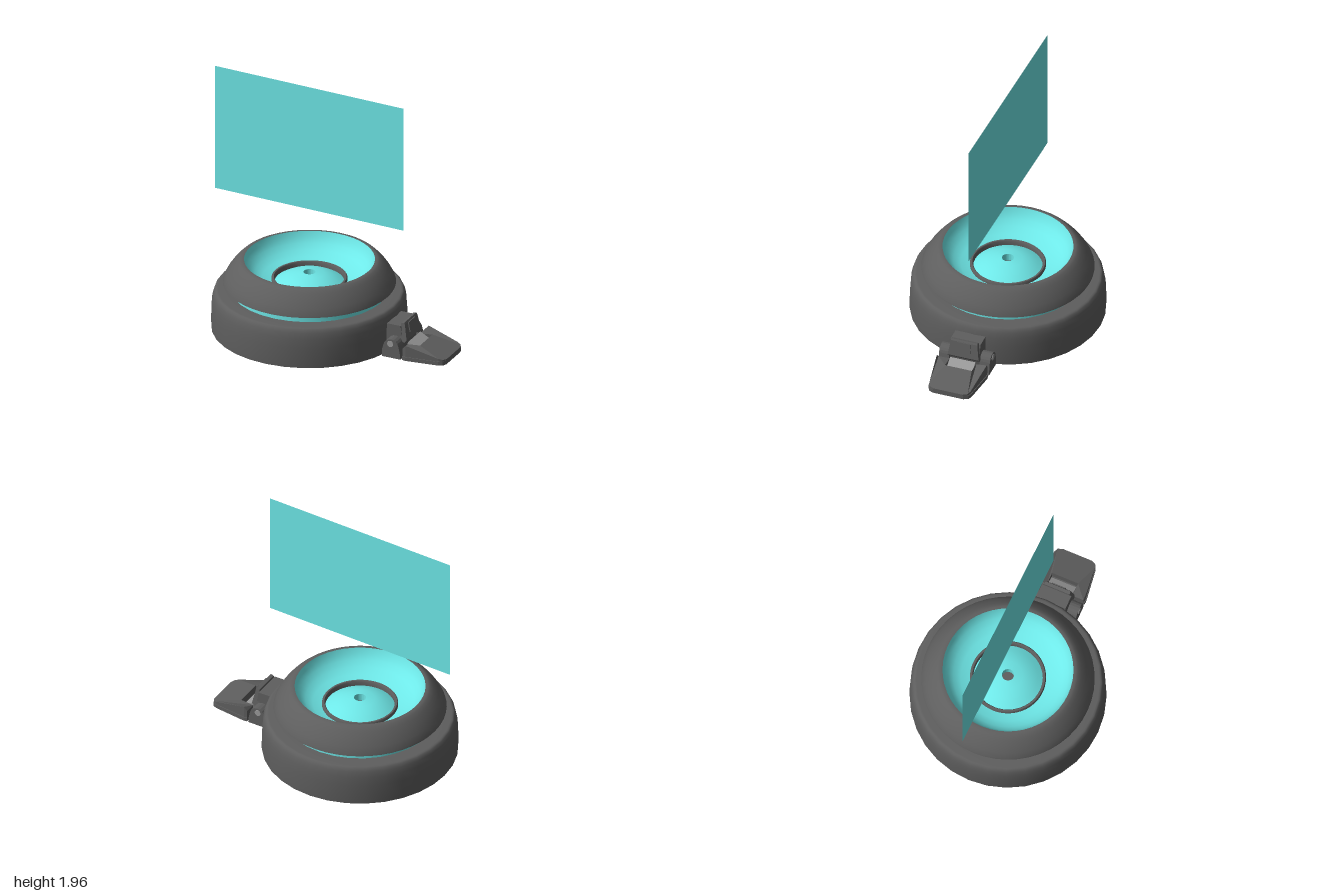
import * as THREE from 'three';
import { toCreasedNormals } from 'three/addons/utils/BufferGeometryUtils.js';

const dark = new THREE.MeshStandardMaterial({ color: 0x5e5e5e });
const metal = new THREE.MeshStandardMaterial({ color: 0x999999 });
const teal = new THREE.MeshStandardMaterial({ color: 0x6ee8e8 });
const screenMat = new THREE.MeshStandardMaterial({ color: 0x6ee8e8, side: THREE.DoubleSide });

function add(parent, name, geometry, material = dark) {
  const mesh = new THREE.Mesh(geometry, material);
  mesh.name = name;
  parent.add(mesh);
  return mesh;
}

// Turned part from [radius, height] pairs, listed so the outside faces outward
function turned(points, segments = 48) {
  const profile = points.map(([r, y]) => new THREE.Vector2(r, y));
  return toCreasedNormals(new THREE.LatheGeometry(profile, segments), 0.7);
}

// Side-view outline (x, y) extruded to a width centred on z = 0
function plate(points, width) {
  const shape = new THREE.Shape(points.map(([x, y]) => new THREE.Vector2(x, y)));
  return new THREE.ExtrudeGeometry(shape, { depth: width, bevelEnabled: false })
    .translate(0, 0, -width / 2);
}

// Plan outline (x, z) raised from a flat bottom to a top height given by a rule
function slab(points, bottom, topAt) {
  const shape = new THREE.Shape(points.map(([x, z]) => new THREE.Vector2(x, z)));
  const geometry = new THREE.ExtrudeGeometry(shape, { depth: 1, bevelEnabled: false }).rotateX(-Math.PI / 2);
  const p = geometry.attributes.position;
  for (let i = 0; i < p.count; i++) p.setY(i, p.getY(i) > 0.5 ? topAt(p.getX(i)) : bottom);
  geometry.computeVertexNormals();
  return geometry;
}

function buildProjector() {
  const g = new THREE.Group();
  g.name = 'projectorDisc';
  // Base with a round recess underneath
  add(g, 'base', turned([
    [0, 0.25], [0.528, 0.25], [0.528, 0], [0.728, 0], [0.73, 0.03], [0.727, 0.16],
    [0.722, 0.23], [0.713, 0.275], [0.702, 0.3], [0.692, 0.308], [0.68, 0.31], [0.56, 0.31],
  ], 32));
  add(g, 'glowBand', turned([[0.585, 0.30], [0.585, 0.38]], 32), teal);
  // Domed collar around the bowl
  add(g, 'collar', turned([
    [0.56, 0.37], [0.642, 0.37], [0.638, 0.385], [0.615, 0.43], [0.58, 0.48],
    [0.545, 0.52], [0.52, 0.542], [0.503, 0.55], [0.485, 0.55],
  ]));
  add(g, 'bowl', turned([
    [0.485, 0.55], [0.472, 0.51], [0.445, 0.47], [0.405, 0.432], [0.35, 0.402], [0.27, 0.38],
  ]), teal);
  add(g, 'lensRing', turned([
    [0.282, 0.37], [0.282, 0.4], [0.276, 0.408], [0.264, 0.408], [0.258, 0.4], [0.258, 0.35],
  ]));
  // Lens dome with a small centre hole
  add(g, 'lens', turned([
    [0.262, 0.365], [0.22, 0.39], [0.17, 0.415], [0.11, 0.435], [0.045, 0.445], [0.045, 0.38],
  ]), teal);
  add(g, 'lensHoleFloor', new THREE.CircleGeometry(0.046, 24).rotateX(-Math.PI / 2).translate(0, 0.385, 0));
  g.position.x = -0.21;
  return g;
}

function buildClasp() {
  const g = new THREE.Group();
  g.name = 'clasp';
  // Hinge brackets with rounded tops, and their pins
  const bracket = [[0.505, 0.005], [0.655, 0.005], [0.65, 0.05]];
  for (let i = 0; i <= 8; i++) {
    const a = 0.2 + (i / 8) * (Math.PI - 0.4);
    bracket.push([0.577 + 0.062 * Math.cos(a), 0.095 + 0.06 * Math.sin(a)]);
  }
  bracket.push([0.505, 0.07]);
  for (const side of [-1, 1]) {
    add(g, 'hingeBracket', plate(bracket, 0.08).translate(0, 0, side * 0.16));
    add(g, 'hingePin', new THREE.CylinderGeometry(0.025, 0.025, 0.02, 16)
      .rotateX(Math.PI / 2).translate(0.572, 0.118, side * 0.194), metal);
  }
  // Arm block against the base
  add(g, 'hingeArm', plate([
    [0.49, 0.02], [0.62, 0.02], [0.635, 0.12], [0.615, 0.238], [0.505, 0.238],
  ], 0.236));
  // Upright latch, narrower at the top
  const latch = plate([
    [0.605, 0.12], [0.652, 0.11], [0.668, 0.13], [0.645, 0.25], [0.638, 0.262], [0.615, 0.255],
  ], 0.25);
  const p = latch.attributes.position;
  for (let i = 0; i < p.count; i++) p.setZ(i, p.getZ(i) * (1 - 1.2 * (p.getY(i) - 0.11)));
  latch.computeVertexNormals();
  add(g, 'latch', latch);
  const pad = add(g, 'latchPad', new THREE.BoxGeometry(0.012, 0.08, 0.11));
  pad.position.set(0.655, 0.21, 0);
  pad.rotation.z = 0.19;

  // Wedge handle: a solid sole, and a sloping body with a notch facing the hinge
  const side = [[0.668, 0.198], [0.695, 0.202], [0.95, 0.168], [0.98, 0.155], [0.995, 0.12]];
  const outline = [...side, ...side.map(([x, z]) => [x, -z]).reverse()].reverse();
  const notch = [[0.668, 0.105], [0.77, 0.105], [0.77, -0.105], [0.668, -0.105]];
  add(g, 'handleSole', slab(outline, 0.005, () => 0.035));
  const slope = (x) => (x < 0.69 ? 0.095 : 0.125 - 0.265 * (x - 0.695));
  const inset = [...outline].map(([x, z]) => [x, z * 0.97]);
  add(g, 'handleBody', slab([...inset, ...notch], 0.03, slope));
  const link = add(g, 'handleLink', new THREE.BoxGeometry(0.085, 0.02, 0.2), metal);
  link.position.set(0.705, 0.085, 0);
  link.rotation.z = -0.5;
  g.position.z = 0.035;
  return g;
}

export function createModel() {
  const model = new THREE.Group();
  model.name = 'displayProjector';
  model.add(buildProjector(), buildClasp());
  // Floating thin screen, turned slightly
  const screen = add(model, 'screen', new THREE.PlaneGeometry(1.58, 1), screenMat);
  screen.position.set(-0.21, 1.457, 0);
  screen.rotation.y = -0.0316;
  return model;
}
